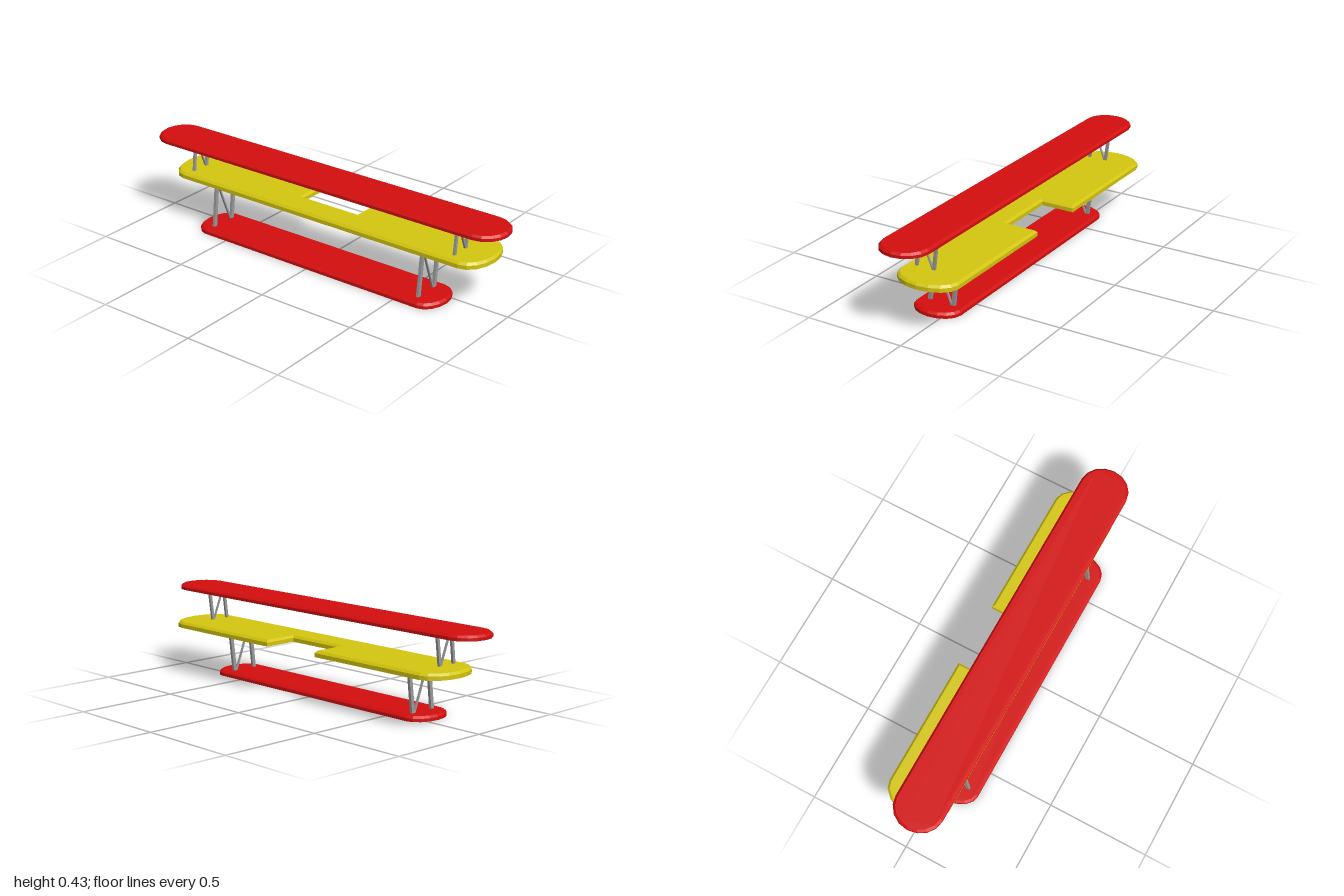
import * as THREE from 'three';

const red = new THREE.MeshStandardMaterial({ color: 0xd40e0e });
red.name = 'wingRed';
const yellow = new THREE.MeshStandardMaterial({ color: 0xd4c60f });
yellow.name = 'wingYellow';
const grey = new THREE.MeshStandardMaterial({ color: 0x9a9a9a });
grey.name = 'strutGrey';

// Plan outline (x, z) with elliptical tips and an optional notch on the +x edge
function outline({ x0, x1, length, tip, notch }, inset) {
  const cx = (x0 + x1) / 2, rx = (x1 - x0) / 2 - inset;
  const zc = length - tip, rz = tip - inset, n = 8;
  const pts = [];
  for (const end of [0, 1]) {
    for (let i = 0; i <= n; i++) {
      const a = Math.PI * (end + i / n);
      pts.push(new THREE.Vector2(cx + rx * Math.cos(a), (end ? -zc : zc) + rz * Math.sin(a)));
    }
  }
  if (notch) {
    const w = notch.half + inset, nx = notch.x - inset, ex = x1 - inset;
    pts.push(new THREE.Vector2(ex, -w), new THREE.Vector2(nx, -w),
      new THREE.Vector2(nx, w), new THREE.Vector2(ex, w));
  }
  return pts;
}

// Slab lofted through three outlines, chamfered along the upper edge
function wing(name, spec, material) {
  const { y0, y1, chamfer } = spec;
  const inset = 0.011;
  const rings = [[0, y0], [0, y1 - chamfer], [inset, y1]].map(([i, y]) =>
    outline(spec, i).map(p => new THREE.Vector3(p.x, y, p.y)));
  const pos = [];
  const tri = (a, b, c) => [a, b, c].forEach(v => pos.push(v.x, v.y, v.z));
  const n = rings[0].length;
  for (let r = 0; r < 2; r++) {
    for (let i = 0; i < n; i++) {
      const j = (i + 1) % n;
      const a = rings[r][i], b = rings[r][j], c = rings[r + 1][j], d = rings[r + 1][i];
      tri(a, c, b);
      tri(a, d, c);
    }
  }
  for (const [ring, up] of [[rings[0], false], [rings[2], true]]) {
    const flat = ring.map(v => new THREE.Vector2(v.x, v.z));
    for (const [a, b, c] of THREE.ShapeUtils.triangulateShape(flat, [])) {
      if (up) tri(ring[a], ring[c], ring[b]);
      else tri(ring[a], ring[b], ring[c]);
    }
  }
  const geo = new THREE.BufferGeometry();
  geo.setAttribute('position', new THREE.Float32BufferAttribute(pos, 3));
  geo.computeVertexNormals();
  const mesh = new THREE.Mesh(geo, material);
  mesh.name = name;
  return mesh;
}

// Square bar running between two (x, y) points at a given z
function bar(name, [xa, ya], [xb, yb], z, width, depth) {
  const dx = xb - xa, dy = yb - ya;
  const mesh = new THREE.Mesh(new THREE.BoxGeometry(width, Math.hypot(dx, dy), depth), grey);
  mesh.position.set((xa + xb) / 2, (ya + yb) / 2, z);
  mesh.rotation.z = -Math.atan2(dx, dy);
  mesh.name = name;
  return mesh;
}

export function createModel() {
  const model = new THREE.Group();
  model.name = 'triplaneWings';

  // Three stacked wings
  model.add(
    wing('lowerWing', { x0: -0.178, x1: 0.063, length: 0.715, tip: 0.085, y0: 0, y1: 0.025, chamfer: 0.01 }, red),
    wing('middleWing', {
      x0: -0.13, x1: 0.178, length: 0.91, tip: 0.1, y0: 0.236, y1: 0.266, chamfer: 0.011,
      notch: { x: 0.01, half: 0.162 },
    }, yellow),
    wing('upperWing', { x0: -0.155, x1: 0.085, length: 1, tip: 0.11, y0: 0.408, y1: 0.432, chamfer: 0.01 }, red),
  );

  // N-shaped strut sets between the wings
  for (const z of [0.602, -0.618]) {
    const set = new THREE.Group();
    set.name = 'lowerStruts';
    set.add(
      bar('rearStrut', [-0.121, 0.02], [-0.095, 0.242], z, 0.018, 0.014),
      bar('frontStrut', [0.006, 0.02], [0.033, 0.242], z, 0.018, 0.014),
      bar('diagonalStrut', [-0.003, 0.02], [-0.088, 0.242], z, 0.007, 0.01),
    );
    model.add(set);
  }
  for (const z of [0.758, -0.782]) {
    const set = new THREE.Group();
    set.name = 'upperStruts';
    set.add(
      bar('rearStrut', [-0.077, 0.26], [-0.059, 0.413], z, 0.014, 0.012),
      bar('frontStrut', [0.014, 0.26], [0.034, 0.413], z, 0.014, 0.012),
      bar('diagonalStrut', [0.011, 0.26], [-0.05, 0.413], z, 0.006, 0.01),
    );
    model.add(set);
  }
  return model;
}
